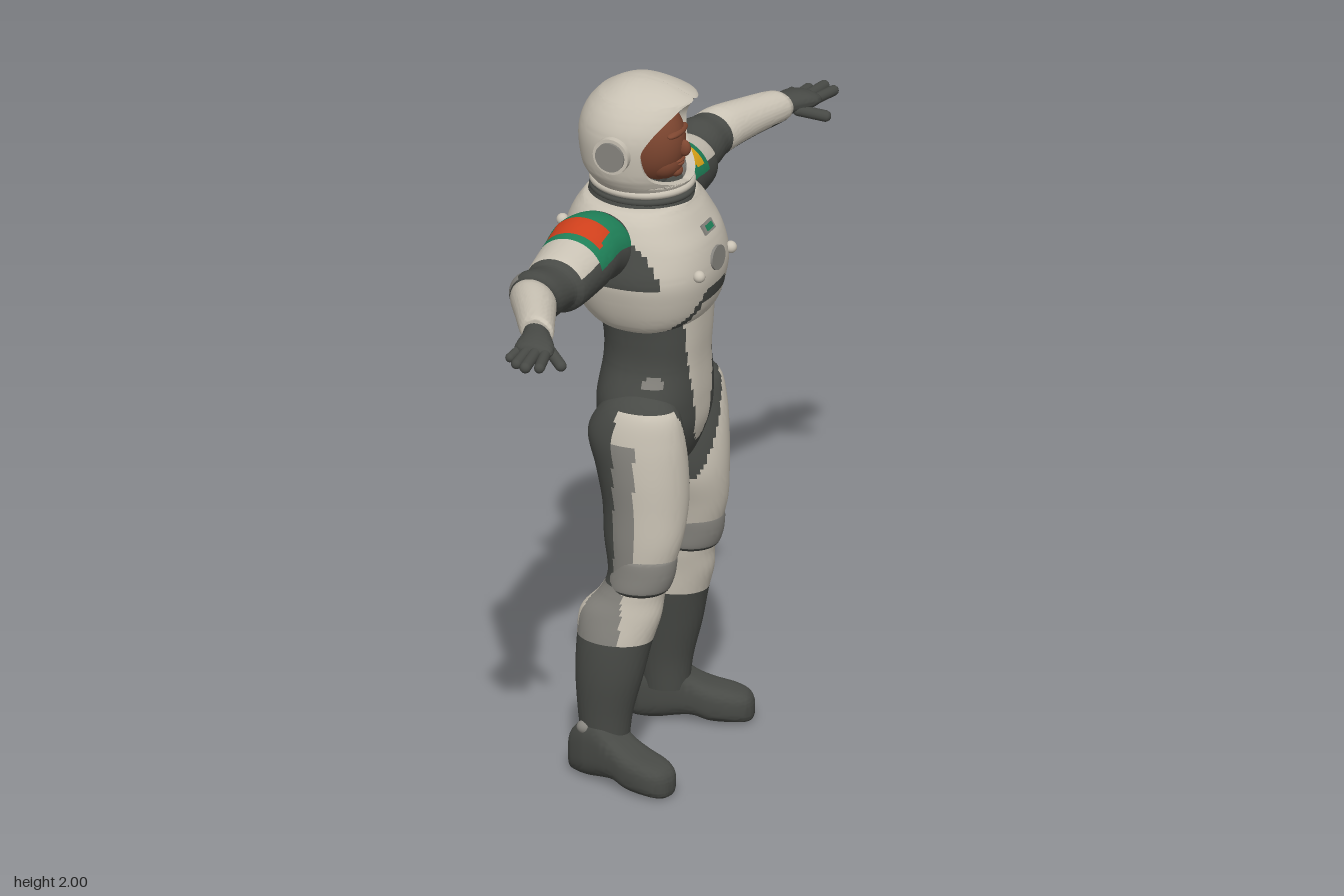
import * as THREE from 'three';
import { toCreasedNormals } from 'three/addons/utils/BufferGeometryUtils.js';

const mat = (name, color) => Object.assign(new THREE.MeshStandardMaterial({ color }), { name });

export function createModel() {
  const M = [
    mat('white suit', 0xc9c2b4), mat('dark fabric', 0x484a46), mat('grey panel', 0x86847e),
    mat('green band', 0x1f8058), mat('red stripe', 0xd0401c), mat('yellow stripe', 0xe0a818), mat('skin', 0x7d4630),
  ];
  const [LIGHT, DARK, GREY, GREEN, RED, YELLOW, SKIN] = M.keys();
  const model = new THREE.Group();
  const body = new THREE.Group();       // built facing +z, then turned to face +x
  body.name = 'astronaut';
  body.rotation.y = Math.PI / 2;
  model.add(body);

  const add = (name, geo, m, pos = [0, 0, 0], scale = [1, 1, 1], parent = body) => {
    const mesh = new THREE.Mesh(geo, typeof m === 'number' ? M[m] : m);
    mesh.name = name;
    mesh.position.set(...pos);
    mesh.scale.set(...scale);
    parent.add(mesh);
    return mesh;
  };

  // Smooth rows between the key rows of a cross-section table
  const smoothRows = (keys, sub) => {
    const out = [], at = i => keys[Math.min(Math.max(i, 0), keys.length - 1)];
    for (let i = 0; i < keys.length - 1; i++)
      for (let k = 0; k < sub; k++) {
        const t = k / sub, t2 = t * t, t3 = t2 * t;
        out.push(keys[i].map((b, j) => {
          const a = at(i - 1)[j], c = at(i + 1)[j], d = at(i + 2)[j];
          return b + 0.5 * ((c - a) * t + (2 * a - 5 * b + 4 * c - d) * t2 + (3 * b - a - 3 * c + d) * t3);
        }));
      }
    out.push(keys[keys.length - 1]);
    return out;
  };

  // Closed loops joined along the rows; paint(centre, row, u) picks the material of each face
  const loft = (name, keys, ring, paint, { n = 56, sub = 7, parent = body, crease = 1.0 } = {}) => {
    const rows = smoothRows(keys, sub), pts = [], buckets = M.map(() => []);
    rows.forEach(r => { for (let j = 0; j < n; j++) pts.push(new THREE.Vector3(...ring(r, j / n))); });
    const mid = pts.reduce((s, p) => s.add(p), new THREE.Vector3()).divideScalar(pts.length);
    const rel = pts.map(p => p.clone().sub(mid));
    let volume = 0;
    const tris = [];
    for (let i = 0; i < rows.length - 1; i++)
      for (let j = 0; j < n; j++) {
        const a = i * n + j, b = i * n + (j + 1) % n, c = a + n, d = b + n;
        const p = pts[a].clone().add(pts[b]).add(pts[c]).add(pts[d]).multiplyScalar(0.25);
        const k = typeof paint === 'number' ? paint : paint(p, rows[i], (j + 0.5) / n);
        for (const t of [[a, b, c], [b, d, c]]) {
          volume += rel[t[0]].dot(rel[t[1]].clone().cross(rel[t[2]]));
          tris.push([t, k]);
        }
      }
    for (const [t, k] of tris) buckets[k].push(...(volume < 0 ? [t[0], t[2], t[1]] : t));
    const geo = new THREE.BufferGeometry().setFromPoints(pts);
    geo.setIndex(buckets.flat());
    let start = 0;
    buckets.forEach((b, k) => { if (b.length) geo.addGroup(start, b.length, k); start += b.length; });
    return add(name, toCreasedNormals(geo, crease), M, [0, 0, 0], [1, 1, 1], parent);
  };

  const pw = (v, e) => Math.sign(v) * Math.abs(v) ** e;
  const lerp = (a, b, t) => a + (b - a) * Math.min(Math.max(t, 0), 1);
  // Ring for trunk rows: [y, half width, back z, front z]
  const trunk = e => ([y, w, back, front], u) => {
    const a = u * Math.PI * 2, c = (back + front) / 2;
    return [w * pw(Math.sin(a), e), y, c + (front - back) / 2 * pw(Math.cos(a), e)];
  };

  // Waist and hips with the pale front panel
  loft('waist', [
    [0.83, 0.02, 0, 0.05], [0.89, 0.09, -0.08, 0.12], [0.99, 0.165, -0.115, 0.16], [1.08, 0.185, -0.122, 0.168],
    [1.19, 0.155, -0.108, 0.168], [1.28, 0.155, -0.11, 0.174], [1.4, 0.17, -0.14, 0.18],
  ], trunk(0.85), p => {
    const w = p.y < 1.0 ? 0.045 * Math.sqrt(Math.max(0, (p.y - 0.945) / 0.055)) : lerp(0.045, 0.1, (p.y - 1) / 0.33);
    if (p.z > 0.05 && Math.abs(p.x) < w) return LIGHT;
    return Math.hypot((p.z - 0.085) / 0.03, (p.y - 1.16) / 0.018) < 1 ? GREY : DARK;
  }, { n: 88, sub: 10 });

  // Hard chest shell, with an arch cut above the front panel
  loft('chestShell', [
    [1.29, 0.1, -0.07, 0.1], [1.31, 0.16, -0.12, 0.15], [1.35, 0.19, -0.165, 0.186], [1.42, 0.215, -0.2, 0.206],
    [1.48, 0.225, -0.215, 0.21], [1.55, 0.21, -0.218, 0.195], [1.6, 0.195, -0.205, 0.168],
    [1.645, 0.17, -0.18, 0.138], [1.665, 0.13, -0.15, 0.11], [1.668, 0, -0.02, -0.02],
  ], trunk(0.85), p => {
    const x = Math.abs(p.x), arch = 1.425 - Math.max(0, x - 0.06) * 1.3;
    if (p.z > 0.05 && x < 0.15 && p.y < arch && p.y > arch - 0.035) return DARK;
    return x > 0.195 && p.y > 1.46 ? DARK : LIGHT;
  }, { n: 88 });
  for (const s of [1, -1])
    for (const [y, z] of [[1.485, 0.2], [1.58, -0.205], [1.41, -0.19]])
      add('chestStud', new THREE.SphereGeometry(0.017, 16, 12), LIGHT, [s * 0.105, y, z]);
  const badge = add('chestDial', new THREE.CylinderGeometry(0.042, 0.042, 0.008, 32), GREY, [0, 1.5, 0.208], [1, 1, 0.8]);
  badge.rotation.x = Math.PI / 2 - 0.1;
  const socket = add('chestSocket', new THREE.BoxGeometry(0.06, 0.03, 0.012), GREY, [0, 1.585, 0.177]);
  socket.rotation.x = -0.55;
  add('socketPlate', new THREE.BoxGeometry(0.035, 0.016, 0.008), GREEN, [0, 0, 0.006], [1, 1, 1], socket);

  // Neck collar and locking ring
  add('collar', new THREE.CylinderGeometry(0.125, 0.145, 0.07, 48), DARK, [0, 1.665, -0.018], [1, 1, 1.08]);
  const lock = (name, r, tube, y, m) => {
    add(name, new THREE.TorusGeometry(r, tube, 12, 56), m, [0, y, -0.015], [1, 1.1, 1]).rotation.x = Math.PI / 2;
  };
  lock('neckRing', 0.122, 0.012, 1.7, LIGHT);
  lock('neckSeal', 0.125, 0.009, 1.678, DARK);

  // Helmet: rows are [y, half width, back z, front z, opening half angle]; the loop runs outside, then back inside
  loft('helmet', [
    [1.695, 0.122, -0.14, 0.115, 0], [1.715, 0.135, -0.155, 0.126, 0], [1.73, 0.145, -0.168, 0.13, 0.6],
    [1.76, 0.157, -0.182, 0.138, 1.02], [1.83, 0.166, -0.19, 0.148, 1.16], [1.88, 0.162, -0.183, 0.152, 1.02],
    [1.92, 0.145, -0.165, 0.15, 0.78], [1.95, 0.122, -0.14, 0.143, 0.45], [1.962, 0.108, -0.125, 0.135, 0],
    [1.985, 0.07, -0.085, 0.08, 0], [1.997, 0.03, -0.045, 0.03, 0], [2, 0, -0.01, -0.01, 0],
  ], ([y, w, back, front, open], u) => {
    const outer = u < 0.5, t = outer ? u * 2 / 0.985 : (u - 0.5) * 2 / 0.985;
    const o = Math.max(open, 0), c = -0.02, k = outer ? 1 : 0.84;
    const a = o + (outer ? Math.min(t, 1) : 1 - Math.min(t, 1)) * 2 * (Math.PI - o);
    const cos = Math.cos(a);
    return [k * w * Math.sin(a), y, c + k * (cos > 0 ? front - c : c - back) * cos];
  }, (p, r, u) => (u > 0.5 && u < 0.99 ? GREY : LIGHT), { n: 128, sub: 5, crease: 0.8 });

  // Head
  const sphere = new THREE.SphereGeometry(1, 36, 28);
  const head = new THREE.Group();
  head.name = 'head';
  body.add(head);
  for (const [name, pos, size] of [
    ['skull', [0, 1.82, 0.005], [0.084, 0.125, 0.103]], ['jaw', [0, 1.765, 0.045], [0.06, 0.055, 0.057]],
    ['nose', [0, 1.808, 0.108], [0.014, 0.024, 0.02]], ['brow', [0, 1.855, 0.088], [0.055, 0.012, 0.02]],
    ['upperLip', [0, 1.772, 0.096], [0.025, 0.006, 0.012]], ['lowerLip', [0, 1.762, 0.095], [0.021, 0.006, 0.012]],
    ['chin', [0, 1.737, 0.085], [0.022, 0.016, 0.018]],
  ]) add(name, sphere, SKIN, pos, size, head);
  add('neck', new THREE.CylinderGeometry(0.06, 0.07, 0.12, 24), DARK, [0, 1.7, -0.01]);

  for (const s of [1, -1]) {
    const side = s > 0 ? 'left' : 'right';

    // Ear cups
    const cup = (name, r, len, x, m) => {
      add(side + name, new THREE.CylinderGeometry(r, r, len, 32), m, [s * x, 1.83, -0.03]).rotation.z = Math.PI / 2;
    };
    cup('EarCup', 0.052, 0.04, 0.16, LIGHT);
    cup('EarDisc', 0.042, 0.03, 0.172, GREY);

    // Arm: rows are [x, y, z, half height, half depth]
    const limb = ([x, cy, cz, ry, rz], u) => {
      const a = u * Math.PI * 2;
      return [s * x, cy + ry * Math.cos(a), cz + rz * Math.sin(a)];
    };
    loft(side + 'Arm', [
      [0.14, 1.565, -0.06, 0.06, 0.07], [0.18, 1.565, -0.06, 0.098, 0.1], [0.25, 1.575, -0.07, 0.1, 0.105],
      [0.32, 1.566, -0.07, 0.095, 0.101], [0.43, 1.55, -0.075, 0.082, 0.09], [0.465, 1.55, -0.08, 0.066, 0.075],
      [0.53, 1.555, -0.09, 0.073, 0.08], [0.575, 1.56, -0.08, 0.066, 0.07], [0.62, 1.572, -0.06, 0.064, 0.068],
      [0.7, 1.578, -0.02, 0.055, 0.06], [0.79, 1.58, 0.025, 0.045, 0.05], [0.8, 1.58, 0.03, 0.028, 0.032],
    ], limb, (p, [, cy, cz, ry, rz]) => {
      const x = Math.abs(p.x), ny = (p.y - cy) / ry, nz = (p.z - cz) / rz;
      if (x < 0.19) return DARK;
      if (x < 0.36 && ny > 0.2) {
        if (Math.abs(x - 0.293) < 0.033 && p.z > -0.152 && p.z < 0.022) {
          if (s < 0) return p.z < 0.005 ? RED : GREEN;
          return Math.abs(x - 0.293) < 0.018 && p.z < -0.01 ? RED : YELLOW;
        }
        return GREEN;
      }
      if (x < 0.44) return nz * 0.7 - ny > 0.25 ? DARK : LIGHT;
      if (x < 0.585) return x > 0.49 && x < 0.565 && nz < -0.6 ? GREY : DARK;
      return ny < -0.6 ? DARK : LIGHT;
    }, { n: 72, sub: 9 });

    // Glove
    loft(side + 'Palm', [
      [0.775, 1.58, 0.018, 0.03, 0.034], [0.83, 1.578, 0.045, 0.03, 0.046], [0.87, 1.575, 0.058, 0.028, 0.056],
      [0.9, 1.572, 0.062, 0.02, 0.05], [0.915, 1.57, 0.065, 0, 0],
    ], limb, DARK, { n: 32, sub: 5 });
    for (const [name, a, b, r] of [
      ['Index', [0.88, 1.572, 0.095], [0.972, 1.566, 0.115], 0.015], ['Middle', [0.885, 1.574, 0.07], [0.987, 1.567, 0.08], 0.016],
      ['Ring', [0.885, 1.572, 0.044], [0.965, 1.562, 0.044], 0.015], ['Pinky', [0.87, 1.57, 0.02], [0.932, 1.56, 0.01], 0.013],
      ['Thumb', [0.83, 1.56, 0.075], [0.875, 1.535, 0.135], 0.016],
    ]) {
      const [from, to] = [a, b].map(([x, y, z]) => new THREE.Vector3(s * x, y, z));
      const dir = to.clone().sub(from), centre = from.clone().lerp(to, 0.5);
      const finger = add(side + name + 'Finger', new THREE.CapsuleGeometry(r, dir.length(), 6, 14), DARK, centre.toArray());
      finger.quaternion.setFromUnitVectors(new THREE.Vector3(0, 1, 0), dir.normalize());
    }

    // Leg: rows are [y, x, z, half width, half depth]
    const column = ([y, cx, cz, rx, rz], u) => {
      const a = u * Math.PI * 2;
      return [s * (cx + rx * Math.cos(a)), y, cz + rz * Math.sin(a)];
    };
    loft(side + 'Leg', [
      [1.13, 0.13, 0.04, 0.04, 0.06], [1.08, 0.14, 0.04, 0.075, 0.11], [1, 0.14, 0.03, 0.095, 0.138],
      [0.9, 0.135, 0.045, 0.105, 0.13], [0.8, 0.135, 0.055, 0.103, 0.12], [0.7, 0.15, 0.055, 0.088, 0.11],
      [0.6, 0.16, 0.048, 0.075, 0.088], [0.54, 0.165, 0.028, 0.075, 0.093], [0.48, 0.175, 0, 0.079, 0.115],
      [0.4, 0.186, -0.014, 0.083, 0.106], [0.3, 0.196, -0.025, 0.077, 0.095], [0.19, 0.2, -0.035, 0.065, 0.077],
      [0.1, 0.2, -0.035, 0.058, 0.066],
    ], column, (p, [, cx, cz]) => {
      const x = Math.abs(p.x), outer = x > cx + 0.02;
      if (p.y < 0.41) return DARK;
      if (p.y < 0.57) return outer && p.z < 0.03 && p.z > cz - 0.1 ? GREY : LIGHT;
      if (p.z < 0 || p.y > 1.09) return DARK;
      if (p.y > 0.76 && x < (p.y > 0.95 ? 0.1 + (p.y - 0.95) * 0.35 : lerp(0.04, 0.1, (p.y - 0.78) / 0.17))) return DARK;
      return outer && p.z < 0.065 && p.y < 1.0 ? GREY : LIGHT;
    }, { n: 72, sub: 7 });
    loft(side + 'KneePad', [
      [0.665, 0.155, 0.06, 0.07, 0.08], [0.655, 0.157, 0.062, 0.08, 0.09], [0.61, 0.16, 0.057, 0.08, 0.093],
      [0.565, 0.163, 0.048, 0.078, 0.088], [0.55, 0.165, 0.04, 0.066, 0.078],
    ], column, p => (p.y < 0.565 ? DARK : GREY), { n: 48, sub: 5 });

    // Boot: rows are [length, half width, top, bottom]
    const boot = new THREE.Group();
    boot.name = side + 'Boot';
    boot.position.set(s * 0.212, 0, -0.045);
    boot.rotation.y = s * 0.27;
    body.add(boot);
    loft(side + 'BootUpper', [
      [-0.088, 0, 0.06, 0.04], [-0.085, 0.03, 0.105, 0.005], [-0.07, 0.048, 0.135, 0], [-0.02, 0.06, 0.172, 0],
      [0.03, 0.06, 0.168, 0.008], [0.08, 0.06, 0.13, 0.014], [0.13, 0.064, 0.108, 0.002], [0.19, 0.06, 0.094, 0],
      [0.228, 0.044, 0.08, 0], [0.244, 0.022, 0.06, 0.008], [0.248, 0, 0.04, 0.03],
    ], ([z, w, top, low], u) => {
      const a = u * Math.PI * 2;
      return [w * pw(Math.cos(a), 0.65), (top + low) / 2 + (top - low) / 2 * pw(Math.sin(a), 0.65), z];
    }, DARK, { n: 48, sub: 5, parent: boot });
    add(side + 'AnkleBuckle', sphere, GREY, [s * 0.245, 0.148, -0.075], [0.02, 0.02, 0.024]);
  }
  return model;
}
